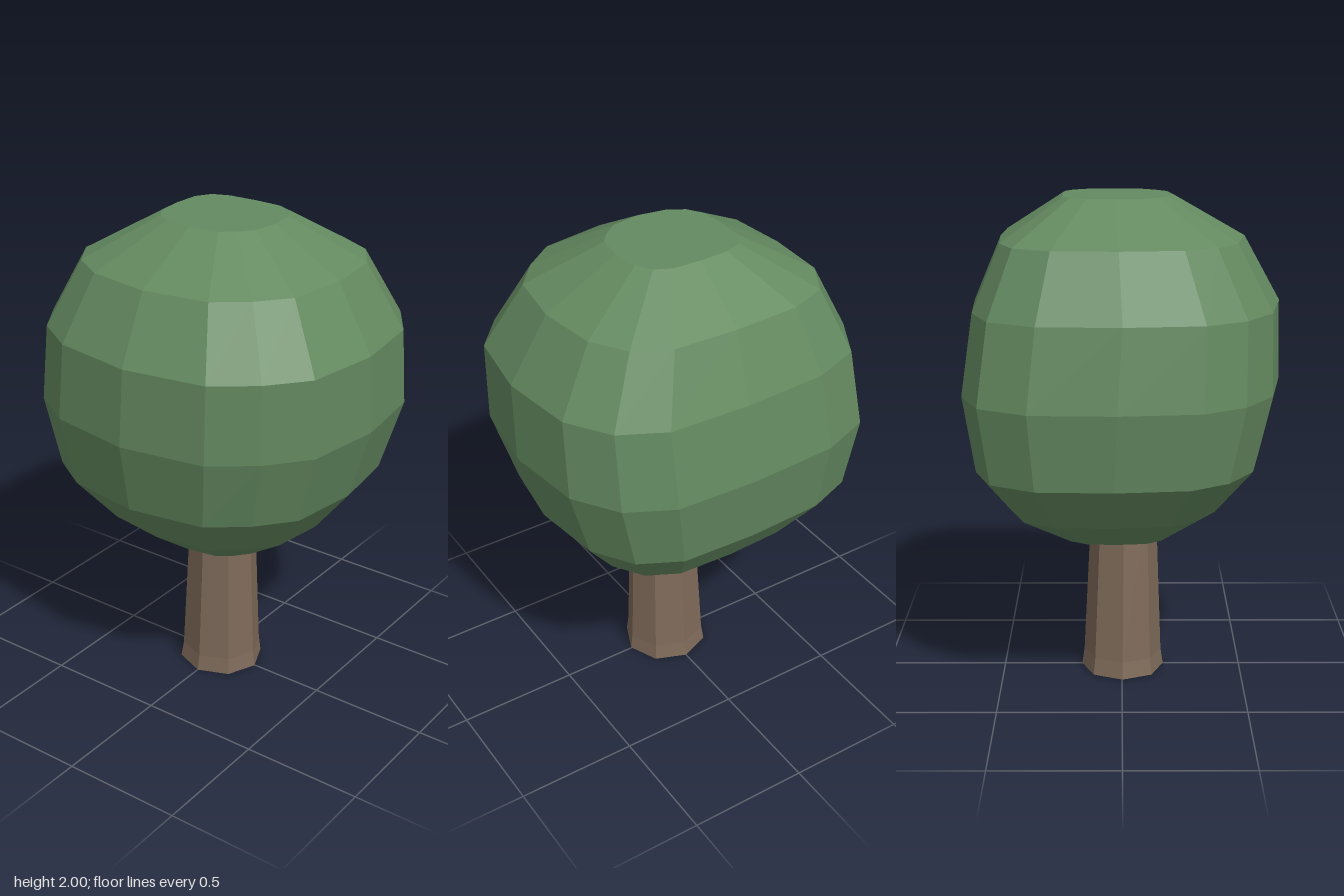
import * as THREE from 'three';

// Faceted solid through stacked rings, closed by a flat cap at each end.
// outline: [x, z] unit points; rings: [y, xMin, xMax, zMin, zMax] from bottom to top.
function loft(outline, rings, color, name) {
  const n = outline.length;
  const positions = [];
  const index = [];
  for (const [y, x0, x1, z0, z1] of rings) {
    for (const [u, v] of outline) {
      positions.push((x0 + x1) / 2 + (u * (x1 - x0)) / 2, y, (z0 + z1) / 2 + (v * (z1 - z0)) / 2);
    }
  }
  for (let r = 0; r < rings.length - 1; r++) {
    for (let i = 0; i < n; i++) {
      const a = r * n + i, b = r * n + ((i + 1) % n);
      index.push(a, a + n, b, b, a + n, b + n);
    }
  }
  const top = (rings.length - 1) * n;
  for (let i = 1; i < n - 1; i++) {
    index.push(0, i, i + 1);
    index.push(top, top + i + 1, top + i);
  }
  const indexed = new THREE.BufferGeometry();
  indexed.setAttribute('position', new THREE.Float32BufferAttribute(positions, 3));
  indexed.setIndex(index);
  const geometry = indexed.toNonIndexed();
  geometry.computeVertexNormals();
  const mesh = new THREE.Mesh(geometry, new THREE.MeshStandardMaterial({ color, flatShading: true }));
  mesh.name = name;
  return mesh;
}

export function createModel() {
  const tree = new THREE.Group();
  tree.name = 'tree';

  // Crown: a soft, uneven square outline, clockwise from the back
  const crownOutline = [
    [0, -1], [0.5, -0.98], [0.77, -0.83], [0.94, -0.55],
    [1, -0.04], [0.93, 0.46], [0.74, 0.71], [0.5, 0.91],
    [-0.01, 1], [-0.52, 0.91], [-0.79, 0.73], [-0.95, 0.47],
    [-1, -0.03], [-0.98, -0.55], [-0.82, -0.85], [-0.52, -0.97],
  ];
  const crownRings = [
    [0.62, -0.26, 0.24, -0.24, 0.22],
    [0.76, -0.485, 0.445, -0.45, 0.41],
    [0.95, -0.645, 0.595, -0.59, 0.565],
    [1.255, -0.69, 0.69, -0.64, 0.64],
    [1.575, -0.645, 0.685, -0.595, 0.635],
    [1.835, -0.52, 0.53, -0.485, 0.49],
    [2.0, -0.237, 0.235, -0.235, 0.2],
  ];
  tree.add(loft(crownOutline, crownRings, 0x648a60, 'crown'));

  // Trunk: eight sides, flared at the foot and leaning slightly
  const octagon = Array.from({ length: 8 }, (_, i) => {
    const a = (i * Math.PI) / 4;
    return [Math.sin(a), -Math.cos(a)];
  });
  const trunkRings = [
    [0, -0.18, 0.18, -0.17, 0.175],
    [0.07, -0.168, 0.172, -0.16, 0.165],
    [0.7, -0.128, 0.153, -0.128, 0.143],
  ];
  tree.add(loft(octagon, trunkRings, 0x7f6b5a, 'trunk'));

  return tree;
}
